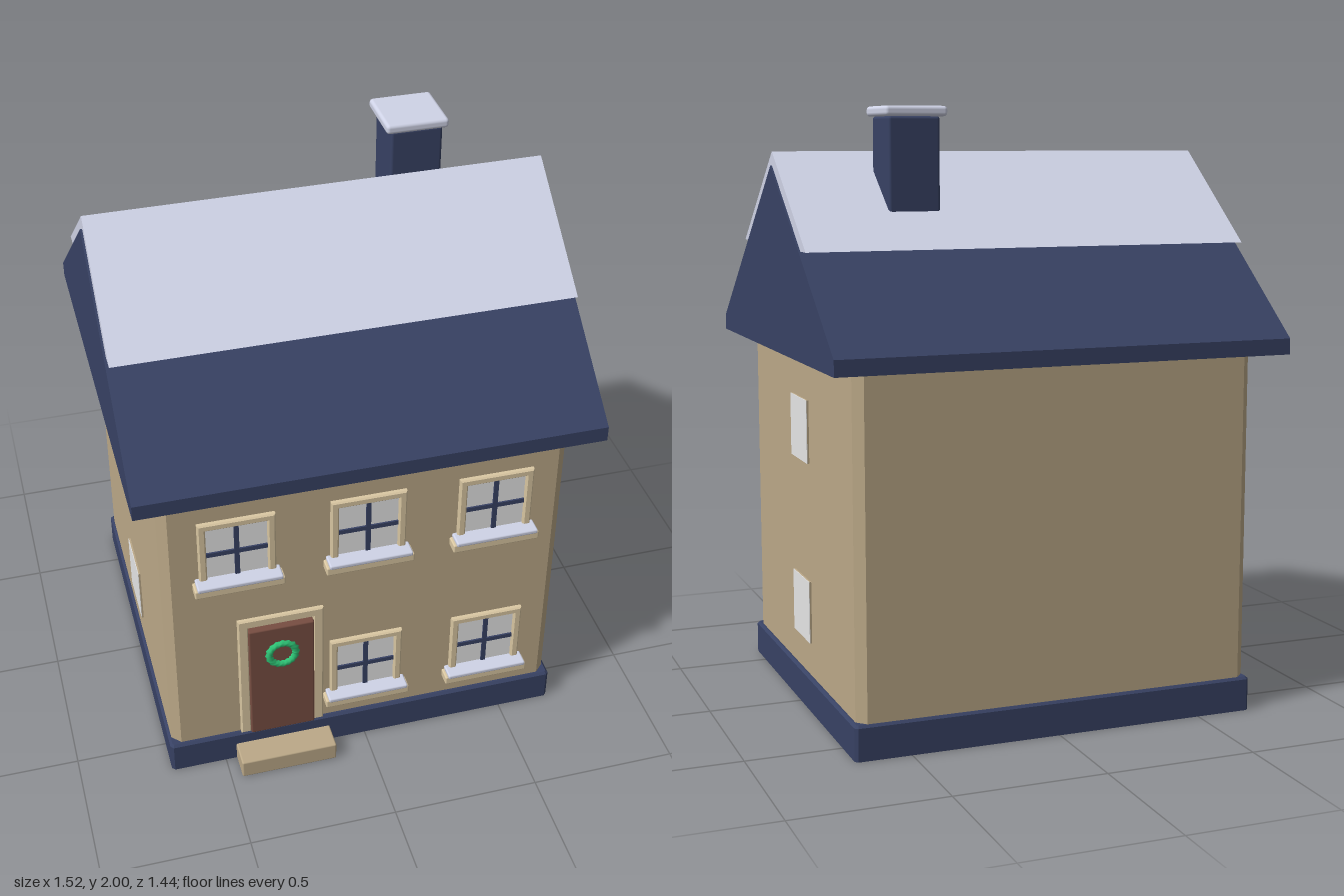
import * as THREE from 'three';
import { RoundedBoxGeometry } from 'three/addons/geometries/RoundedBoxGeometry.js';

const mat = (name, color) => {
  const m = new THREE.MeshStandardMaterial({ color });
  m.name = name;
  return m;
};

export function createModel() {
  const house = new THREE.Group();
  house.name = 'house';
  const wall = mat('tan wall', 0xbca988);
  const trim = mat('cream trim', 0xdcc9a4);
  const navy = mat('navy', 0x384264);
  const snow = mat('snow', 0xd4d8ec);
  const glass = mat('window white', 0xfafafa);
  const wood = mat('brown door', 0x784e42);
  const green = mat('wreath green', 0x2fc878);

  const add = (parent, name, geometry, material) => {
    const mesh = new THREE.Mesh(geometry, material);
    mesh.name = name;
    parent.add(mesh);
    return mesh;
  };
  // Box given by its limits on each axis, with optional softened edges
  const box = (parent, name, material, [x0, x1], [y0, y1], [z0, z1], r = 0) => {
    const size = [x1 - x0, y1 - y0, z1 - z0];
    const g = r ? new RoundedBoxGeometry(...size, 2, r) : new THREE.BoxGeometry(...size);
    g.translate((x0 + x1) / 2, (y0 + y1) / 2, (z0 + z1) / 2);
    return add(parent, name, g, material);
  };
  const polygon = (points) => new THREE.Shape(points.map(([x, y]) => new THREE.Vector2(x, y)));
  // Section given as (z, y) points, extruded along x
  const extrudeX = (points, x0, x1) => {
    const g = new THREE.ExtrudeGeometry(polygon(points.map(([z, y]) => [-z, y])),
      { depth: x1 - x0, bevelEnabled: false });
    return g.rotateY(Math.PI / 2).translate(x0, 0, 0);
  };
  // Rectangle with cut corners in plan, extruded upwards
  const chamferedBlock = (x0, x1, z0, z1, c, y0, y1, bevel = 0) => {
    const s = polygon([
      [x0 + c, -z1], [x1 - c, -z1], [x1, -z1 + c], [x1, -z0 - c],
      [x1 - c, -z0], [x0 + c, -z0], [x0, -z0 - c], [x0, -z1 + c]]);
    const g = new THREE.ExtrudeGeometry(s, {
      depth: y1 - y0 - bevel, bevelEnabled: bevel > 0, bevelSize: bevel,
      bevelThickness: bevel, bevelOffset: -bevel, bevelSegments: 1 });
    return g.rotateX(-Math.PI / 2).translate(0, y0, 0);
  };
  // Three-sided surround, open at the bottom, with an eased edge
  const surround = (x0, x1, y0, y1, t, z0, z1) => {
    const b = 0.005;
    const g = new THREE.ExtrudeGeometry(polygon([
      [x0, y0], [x0 + t, y0], [x0 + t, y1 - t], [x1 - t, y1 - t],
      [x1 - t, y0], [x1, y0], [x1, y1], [x0, y1]]), {
      depth: z1 - z0 - b, bevelThickness: b, bevelSize: b, bevelOffset: -b, bevelSegments: 1 });
    return g.translate(0, 0, z0);
  };

  // Plinth and walls with cut corners
  add(house, 'plinth', chamferedBlock(-0.69, 0.685, -0.64, 0.625, 0.01, 0.008, 0.115, 0.008), navy);
  add(house, 'plinthFoot', chamferedBlock(-0.69, 0.685, -0.64, 0.625, 0.01, 0, 0.01), navy);
  add(house, 'walls', chamferedBlock(-0.68, 0.672, -0.63, 0.61, 0.03, 0.05, 1.215), wall);

  // Gabled roof with short vertical eaves, and the snow lying along the ridge
  add(house, 'roof', extrudeX([
    [0.70, 1.208], [0.70, 1.26], [-0.01, 1.81], [-0.72, 1.26], [-0.72, 1.208]], -0.765, 0.76), navy);
  add(house, 'roofSnow', extrudeX([
    [0.385, 1.552], [-0.01, 1.856], [-0.405, 1.552], [-0.345, 1.552],
    [-0.01, 1.809], [0.325, 1.552]], -0.758, 0.754), snow);

  // Chimney
  const chimney = new THREE.Group();
  chimney.name = 'chimney';
  house.add(chimney);
  box(chimney, 'chimneyStack', navy, [0.263, 0.437], [1.45, 1.968], [-0.257, -0.083], 0.01);
  box(chimney, 'chimneySnowCap', snow, [0.243, 0.453], [1.967, 2.0], [-0.277, -0.067], 0.012);

  // Front windows with surround, glazing bars, sill and snow
  const frontWindow = (x, y) => {
    const w = new THREE.Group();
    w.name = 'frontWindow';
    w.position.set(x, y, 0);
    house.add(w);
    box(w, 'glass', glass, [-0.103, 0.103], [0.03, 0.252], [0.606, 0.613]);
    add(w, 'windowSurround', surround(-0.126, 0.126, 0.03, 0.275, 0.026, 0.605, 0.626), trim);
    box(w, 'uprightBar', navy, [-0.008, 0.008], [0.03, 0.25], [0.61, 0.619]);
    box(w, 'crossBar', navy, [-0.1, 0.1], [0.136, 0.152], [0.61, 0.619]);
    box(w, 'sill', trim, [-0.148, 0.148], [0, 0.032], [0.6, 0.656], 0.005);
    box(w, 'sillSnow', snow, [-0.14, 0.14], [0.031, 0.048], [0.605, 0.666], 0.006);
  };
  for (const [x, y] of [[-0.433, 0.8], [0, 0.8], [0.43, 0.8], [0, 0.19], [0.43, 0.19]]) {
    frontWindow(x, y);
  }

  // Flat windows on both side walls
  for (const [x, out] of [[-0.68, -1], [0.672, 1]]) {
    for (const y of [0.23, 0.84]) {
      const span = (a, b) => [Math.min(x + a * out, x + b * out), Math.max(x + a * out, x + b * out)];
      box(house, 'sideWindowBacking', wall, span(-0.01, 0.006), [y, y + 0.21], [-0.108, 0.092]);
      box(house, 'sideWindowGlass', glass, span(0.006, 0.008), [y, y + 0.21], [-0.108, 0.092]);
    }
  }

  // Door, surround and step
  add(house, 'doorSurround', surround(-0.442, -0.15, 0.113, 0.635, 0.036, 0.605, 0.624), trim);
  box(house, 'door', wood, [-0.408, -0.184], [0.114, 0.59], [0.6, 0.633], 0.006);
  box(house, 'doorStep', wall, [-0.462, -0.128], [0, 0.068], [0.6, 0.718], 0.006);

  // Wreath: a ring whose thickness alternates around the loop
  const ring = new THREE.TorusGeometry(0.046, 0.012, 6, 32);
  const p = ring.attributes.position;
  for (let i = 0; i < p.count; i++) {
    const a = Math.atan2(p.getY(i), p.getX(i));
    const s = 1 + 0.22 * Math.cos(a * 16);
    const r = 0.046 + (Math.hypot(p.getX(i), p.getY(i)) - 0.046) * s;
    p.setXYZ(i, Math.cos(a) * r, Math.sin(a) * r, p.getZ(i) * 0.9);
  }
  ring.computeVertexNormals();
  add(house, 'wreath', ring, green).position.set(-0.296, 0.475, 0.638);

  return house;
}
